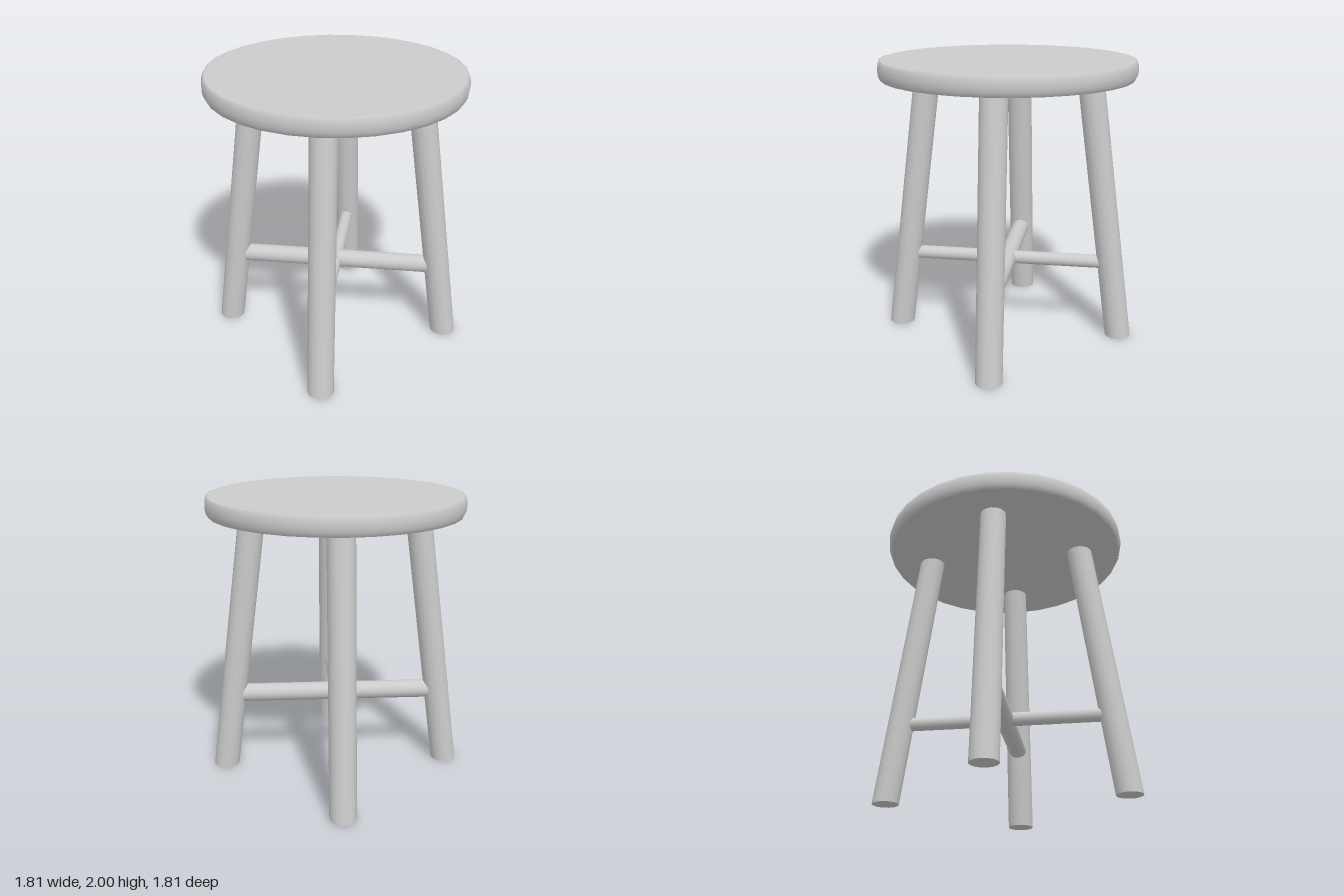
import * as THREE from 'three';

const material = new THREE.MeshStandardMaterial({ color: 0xcccccc });

function addPart(parent, name, geometry) {
  const mesh = new THREE.Mesh(geometry, material);
  mesh.name = name;
  parent.add(mesh);
  return mesh;
}

// Splayed leg: an upright cylinder sheared so both ends stay level
function legGeometry(footX, topX, height, radius) {
  const geometry = new THREE.CylinderGeometry(radius, radius, height, 16);
  const shear = new THREE.Matrix4().set(
    1, (topX - footX) / height, 0, (footX + topX) / 2,
    0, 1, 0, height / 2,
    0, 0, 1, 0,
    0, 0, 0, 1
  );
  return geometry.applyMatrix4(shear);
}

export function createModel() {
  const stool = new THREE.Group();
  stool.name = 'stool';

  // Round seat with a softly bulging rim
  const profile = [
    [0, 1.87], [0.85, 1.87], [0.86, 1.872], [0.873, 1.9], [0.878, 1.935],
    [0.874, 1.97], [0.866, 1.997], [0.855, 2], [0, 2],
  ].map(([x, y]) => new THREE.Vector2(x, y));
  addPart(stool, 'seat', new THREE.LatheGeometry(profile, 32));

  // Four legs, one on each side
  const leg = legGeometry(0.815, 0.563, 1.88, 0.091);
  ['leftLeg', 'backLeg', 'rightLeg', 'frontLeg'].forEach((name, i) => {
    addPart(stool, name, leg).rotation.y = (i * Math.PI) / 2;
  });

  // Crossed stretchers joining opposite legs
  const side = addPart(stool, 'sideStretcher', new THREE.CylinderGeometry(0.064, 0.064, 1.48, 16));
  side.position.y = 0.562;
  side.rotation.z = Math.PI / 2;
  const depth = addPart(stool, 'depthStretcher', new THREE.CylinderGeometry(0.047, 0.047, 1.48, 16));
  depth.position.y = 0.562;
  depth.rotation.x = Math.PI / 2;

  return stool;
}
